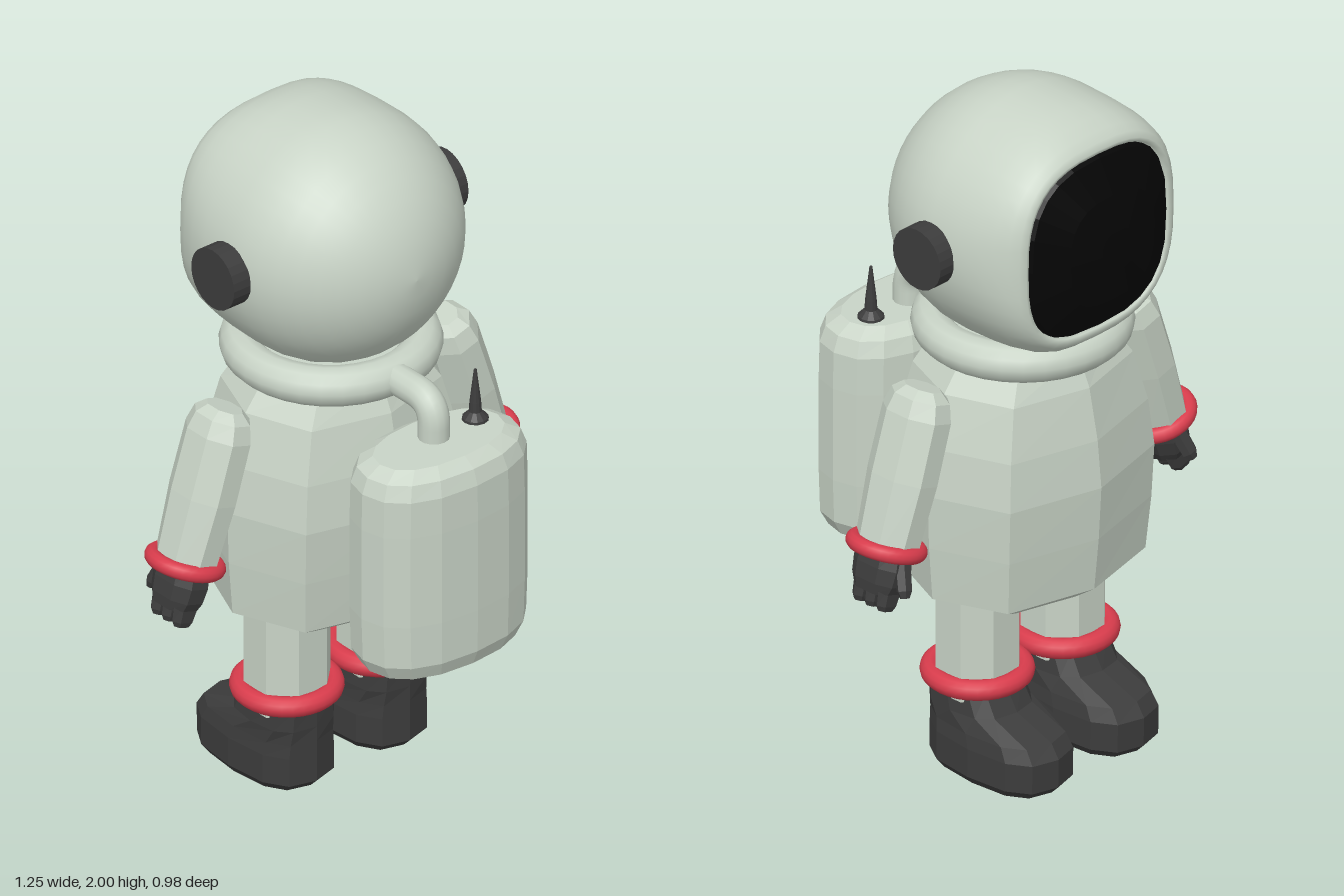
import * as THREE from 'three';

const mat = (color, flat) => new THREE.MeshStandardMaterial({ color, flatShading: flat, roughness: 0.8 });
const suit = mat(0xc8d3c6, true), suitSmooth = mat(0xc8d3c6, false);
const dark = mat(0x3c3c3c, true), red = mat(0xd83c4c, false), black = mat(0x050505, true);

function add(parent, name, geometry, material, x = 0, y = 0, z = 0) {
  const m = new THREE.Mesh(geometry, material);
  m.name = name;
  m.position.set(x, y, z);
  parent.add(m);
  return m;
}

// Closed skin over rounded cross-sections stacked in y.
// Each ring is [y, half width x, half depth z, centre z, roundness exponent].
function loft(rings, sides, exponent = 2, turn = 0) {
  const pos = [], idx = [];
  rings.forEach(([y, rx, rz, cz = 0, n = exponent]) => {
    const p = v => Math.sign(v) * Math.abs(v) ** (2 / n);
    for (let j = 0; j < sides; j++) {
      const t = ((j + turn) / sides) * Math.PI * 2;
      pos.push(rx * p(Math.cos(t)), y, cz + rz * p(Math.sin(t)));
    }
  });
  for (let i = 0; i < rings.length - 1; i++) {
    for (let j = 0; j < sides; j++) {
      const a = i * sides + j, c = i * sides + ((j + 1) % sides);
      idx.push(a, a + sides, c, c, a + sides, c + sides);
    }
  }
  // end caps
  const last = rings.length - 1, bottom = pos.length / 3, top = bottom + 1;
  for (const k of [0, last]) pos.push(0, rings[k][0], rings[k][3] || 0);
  for (let j = 0; j < sides; j++) {
    const k = (j + 1) % sides;
    idx.push(bottom, j, k, top, last * sides + k, last * sides + j);
  }
  const g = new THREE.BufferGeometry();
  g.setAttribute('position', new THREE.Float32BufferAttribute(pos, 3));
  g.setIndex(idx);
  g.computeVertexNormals();
  return g;
}

const ring = (radius, tube) => new THREE.TorusGeometry(radius, tube, 12, 32).rotateX(Math.PI / 2);

function buildHead(root) {
  const head = new THREE.Group();
  head.name = 'head';
  head.position.set(0, 1.635, -0.13);
  root.add(head);

  // round at the back, turning into a soft square around the face opening
  const shell = [];
  for (let i = 0; i <= 10; i++) {
    const a = (i / 10 - 1) * Math.PI / 2, r = Math.max(0.001, 0.365 * Math.cos(a));
    shell.push([0.365 * Math.sin(a), r, r, 0, 2]);
  }
  for (const [y, r, n] of [[0.1, 0.36, 2.05], [0.16, 0.35, 2.15], [0.21, 0.335, 2.3], [0.25, 0.315, 2.5],
    [0.273, 0.295, 2.7], [0.284, 0.278, 2.8], [0.28, 0.266, 2.8], [0.26, 0.258, 2.8]]) shell.push([y, r, r, 0, n]);
  add(head, 'helmet', loft(shell, 40).rotateX(-Math.PI / 2), suitSmooth);

  const visor = [[0.265, 0.268, 0.268], [0.285, 0.255, 0.255], [0.335, 0.16, 0.16], [0.357, 0.06, 0.06], [0.36, 0.005, 0.005]];
  add(head, 'visor', loft(visor, 24, 2.8).rotateX(-Math.PI / 2), black);

  for (const s of [-1, 1]) {
    add(head, 'earpiece', new THREE.CylinderGeometry(0.09, 0.09, 0.07, 24).rotateZ(Math.PI / 2), dark, s * 0.375, -0.005, 0);
  }
}

function buildBackpack(root) {
  const pack = new THREE.Group();
  pack.name = 'backpack';
  pack.position.z = 0.325;
  root.add(pack);
  add(pack, 'tank', loft([[0.53, 0.2, 0.11], [0.545, 0.24, 0.145], [0.59, 0.265, 0.163], [0.72, 0.27, 0.165],
    [1.0, 0.27, 0.165], [1.11, 0.267, 0.163], [1.155, 0.25, 0.148], [1.18, 0.205, 0.11]], 16, 2.3), suit);

  // air hose bending forward into the collar
  const path = new THREE.CurvePath();
  const v = (y, z) => new THREE.Vector3(0, y, z);
  path.add(new THREE.LineCurve3(v(1.14, -0.02), v(1.22, -0.02)));
  path.add(new THREE.QuadraticBezierCurve3(v(1.22, -0.02), v(1.29, -0.02), v(1.29, -0.09)));
  path.add(new THREE.LineCurve3(v(1.29, -0.09), v(1.29, -0.23)));
  add(pack, 'hose', new THREE.TubeGeometry(path, 30, 0.044, 14), suitSmooth);

  const profile = [[0, 0], [0.038, 0], [0.036, 0.012], [0.018, 0.03], [0.016, 0.06], [0.004, 0.16], [0, 0.16]];
  add(pack, 'antenna', new THREE.LatheGeometry(profile.map(p => new THREE.Vector2(...p)), 12), dark, 0.145, 1.175, -0.02);
}

// Built on the +x side around the wrist, tilted outward.
function buildArm(root, s) {
  const arm = new THREE.Group();
  arm.name = 'arm';
  arm.position.set(s * 0.515, 0.79, -0.12);
  arm.rotation.z = s * 0.31;
  root.add(arm);
  add(arm, 'sleeve', loft([[-0.01, 0.08, 0.095], [0.2, 0.086, 0.108], [0.38, 0.085, 0.106],
    [0.43, 0.074, 0.09], [0.455, 0.045, 0.06]], 8, 2, 0.5), suit);
  add(arm, 'wristCuff', ring(0.09, 0.023), red);
  add(arm, 'hand', loft([[-0.125, 0.052, 0.066], [-0.095, 0.06, 0.08], [-0.05, 0.064, 0.085],
    [0.01, 0.06, 0.075]], 8, 2.5, 0.5), dark);
  for (let i = 0; i < 3; i++) {
    add(arm, 'finger', loft([[-0.17, 0.025, 0.016], [-0.155, 0.036, 0.021], [-0.1, 0.046, 0.024]], 6, 2.5),
      dark, 0, 0, (i - 1) * 0.044);
  }
  const thumb = add(arm, 'thumb', loft([[-0.055, 0.014, 0.012], [-0.035, 0.024, 0.02], [0.04, 0.026, 0.022]], 6),
    dark, 0, -0.065, -0.083);
  thumb.rotation.x = 0.4;
}

function buildLeg(root, s) {
  const leg = new THREE.Group();
  leg.name = 'leg';
  leg.position.set(s * 0.163, 0, -0.115);
  root.add(leg);
  add(leg, 'trouser', loft([[0.23, 0.122, 0.118], [0.6, 0.122, 0.118]], 8, 2.1, 0.5), suit);
  add(leg, 'ankleCuff', ring(0.127, 0.029), red, 0, 0.275, 0);
  // rings run from heel to toe, shortening above the instep
  const boot = [[0, 0.01, 0.112, -0.395], [0.025, 0.12, 0.13, -0.42], [0.11, 0.118, 0.13, -0.422],
    [0.15, 0.118, 0.124, -0.395], [0.195, 0.12, 0.118, -0.265], [0.26, 0.12, 0.112, -0.225]]
    .map(([y, heel, rx, toe]) => {
      const back = y === 0 ? 0.1 : 0.125, front = toe + 0.115;
      return [y, rx, (back - front) / 2, (back + front) / 2];
    });
  add(leg, 'boot', loft(boot, 12, 2.7), dark);
}

export function createModel() {
  const root = new THREE.Group();
  root.name = 'astronaut';
  add(root, 'torso', loft([[0.51, 0.24, 0.2], [0.56, 0.345, 0.27], [0.72, 0.358, 0.287], [0.88, 0.363, 0.297],
    [1.02, 0.345, 0.283], [1.17, 0.3, 0.252], [1.26, 0.23, 0.21]], 8, 2.5), suit, 0, 0, -0.125);
  add(root, 'collar', ring(0.247, 0.056), suitSmooth, 0, 1.288, -0.125);
  buildHead(root);
  buildBackpack(root);
  for (const s of [-1, 1]) {
    buildArm(root, s);
    buildLeg(root, s);
  }
  return root;
}
